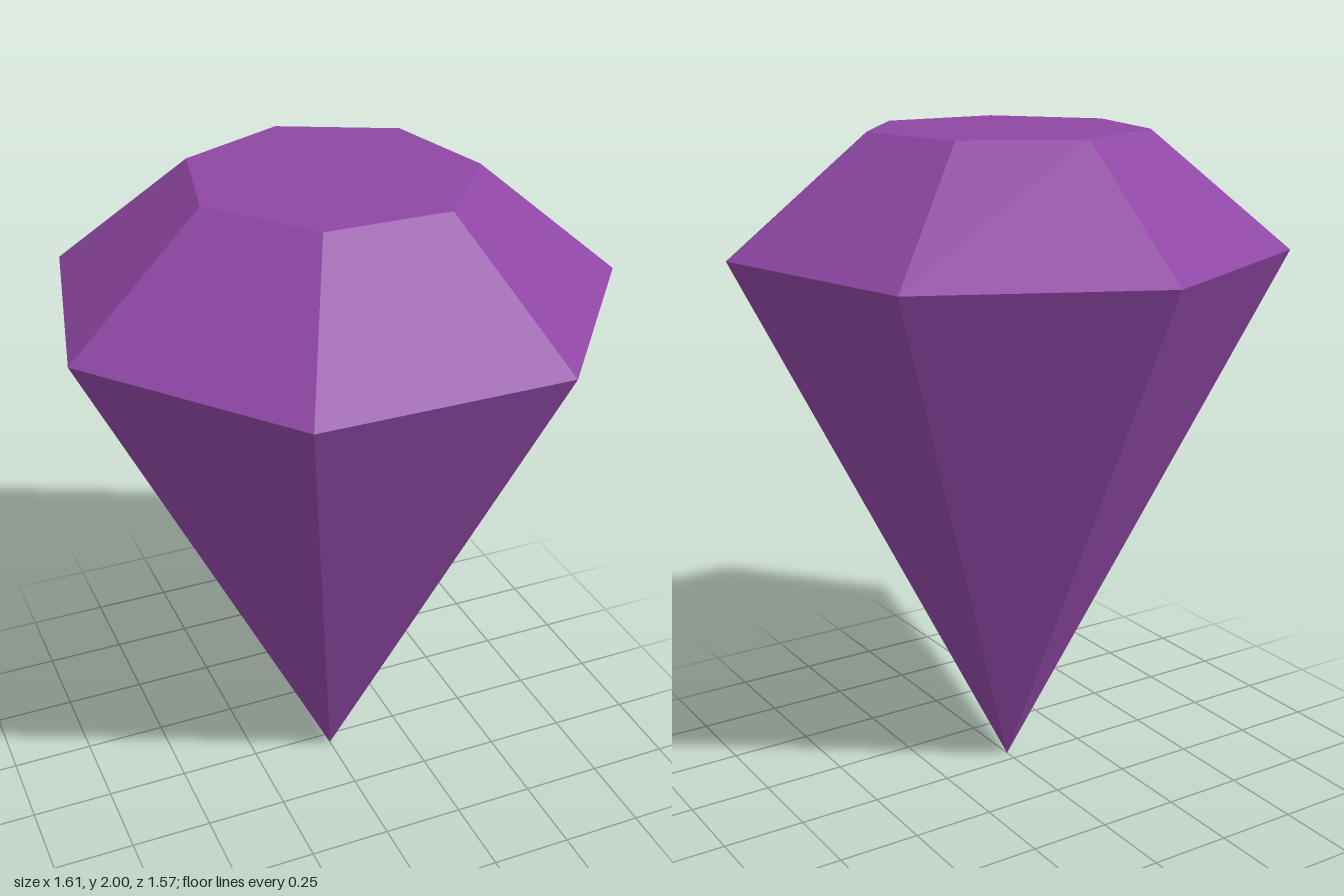
import * as THREE from 'three';

const SIDES = 7;
const GIRDLE_R = 0.826, TABLE_R = 0.415;
const GIRDLE_Y = 1.66, TOP_Y = 2;

export function createModel() {
  const gem = new THREE.Group();
  gem.name = 'gem';
  const purple = new THREE.MeshStandardMaterial({ color: 0x8f47a4 });
  purple.name = 'amethyst purple';

  // Adds one part with a separate normal for every facet
  function addPart(name, geometry, y) {
    const faceted = geometry.toNonIndexed();
    faceted.computeVertexNormals();
    const mesh = new THREE.Mesh(faceted, purple);
    mesh.name = name;
    mesh.position.y = y;
    gem.add(mesh);
  }

  // Open ring of facets with one corner pointing to the back
  const facets = (top, bottom, height) =>
    new THREE.CylinderGeometry(top, bottom, height, SIDES, 1, true, Math.PI);

  // Long pointed lower half
  addPart('pavilion', facets(GIRDLE_R, 0, GIRDLE_Y), GIRDLE_Y / 2);

  // Sloping upper facets
  addPart('crown', facets(TABLE_R, GIRDLE_R, TOP_Y - GIRDLE_Y), (TOP_Y + GIRDLE_Y) / 2);

  // Flat top
  addPart('table', new THREE.CircleGeometry(TABLE_R, SIDES, Math.PI / 2).rotateX(-Math.PI / 2), TOP_Y);

  // Centre the odd-sided outline front to back
  gem.children.forEach((part) => { part.position.z = 0.041; });
  return gem;
}
